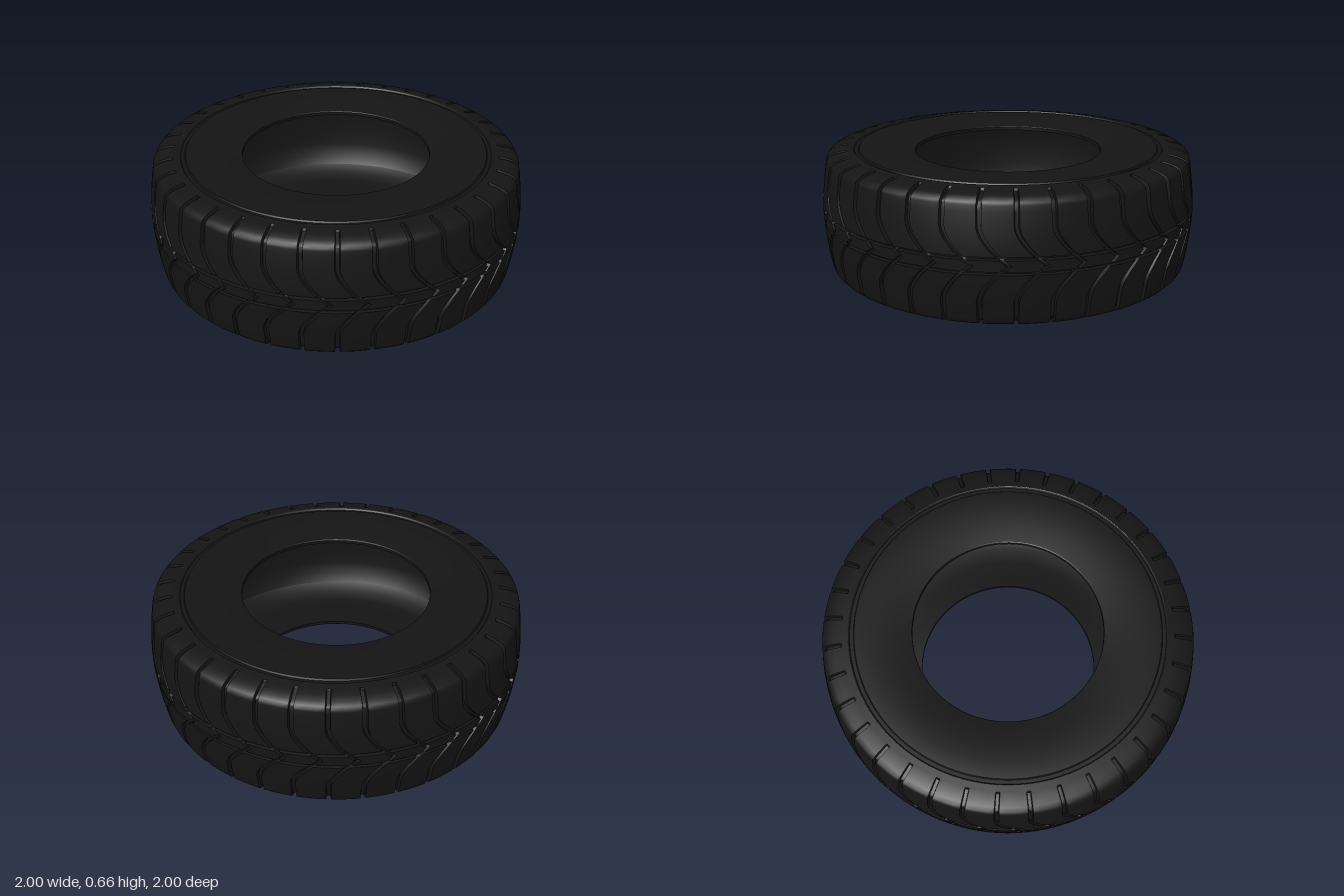
import * as THREE from 'three';
import { toCreasedNormals } from 'three/addons/utils/BufferGeometryUtils.js';

const MID = 0.33;      // height of the centre plane
const PITCHES = 36;    // tread blocks around the tyre
const DEPTH = 0.018;   // groove depth

// radius of the gently crowned tread at distance h from the centre plane
const crown = (h) => 1 - 0.03 * Math.pow(h / 0.275, 1.7);

// Half of the tread section, centre to shoulder: [radius, height, lateral groove depth]
function treadHalf() {
  const rows = [[1, 0, DEPTH], [1, 0.027, DEPTH],
    [0.98, 0.03, 0], [0.98, 0.04, 0]];             // circumferential groove
  for (const h of [0.043, 0.06, 0.08, 0.1, 0.125, 0.15, 0.18, 0.21, 0.245, 0.275]) {
    rows.push([crown(h), h, DEPTH]);
  }
  rows.push([0.966, 0.288, DEPTH], [0.956, 0.299, DEPTH], [0.935, 0.31, DEPTH],
    [0.905, 0.319, DEPTH], [0.87, 0.325, 0.012], [0.862, 0.326, 0], [0.828, 0.33, 0]);
  return rows;
}

// Angle by which the lateral grooves sweep sideways near the centre
function sweep(h) {
  const t = Math.min(1, Math.abs(h) / 0.18);
  return 0.14 * Math.pow(1 - t, 1.6);
}

// Tread surface: a grid whose columns follow the swept grooves
function treadGeometry() {
  const half = treadHalf();
  const rows = [...half.slice(1).reverse().map(([r, h, d]) => [r, -h, d]), ...half];
  const pitch = (Math.PI * 2) / PITCHES;
  // [angle within a pitch, 1 on the groove floor]
  const columns = [[-0.013, 0], [-0.009, 1], [0.009, 1], [0.013, 0],
    [0.048, 0], [0.087, 0], [0.126, 0]];
  const n = PITCHES * columns.length;
  const positions = [];
  const index = [];
  rows.forEach(([r, h, depth], i) => {
    // section normal, used to sink the grooves
    const a = rows[Math.max(0, i - 1)];
    const b = rows[Math.min(rows.length - 1, i + 1)];
    const normal = Math.abs(h) < 0.06
      ? new THREE.Vector2(1, 0)
      : new THREE.Vector2(b[1] - a[1], a[0] - b[0]).normalize();
    for (let j = 0; j < n; j++) {
      const [u, floor] = columns[j % columns.length];
      const angle = Math.floor(j / columns.length) * pitch + u + sweep(h);
      const rr = r - normal.x * depth * floor;
      const hh = h - normal.y * depth * floor;
      positions.push(rr * Math.sin(angle), MID + hh, rr * Math.cos(angle));
      if (i < rows.length - 1) {
        const k = (j + 1) % n;
        const p = i * n + j, q = i * n + k;
        index.push(p, q, q + n, p, q + n, p + n);
      }
    }
  });
  const geometry = new THREE.BufferGeometry();
  geometry.setAttribute('position', new THREE.Float32BufferAttribute(positions, 3));
  geometry.setIndex(index);
  return toCreasedNormals(geometry, 0.6);
}

// Lathe from a half section, top part first, then mirrored to the underside
function mirroredLathe(half, join) {
  const top = half.map(([r, h]) => new THREE.Vector2(r, MID + h));
  const bottom = half.map(([r, h]) => new THREE.Vector2(r, MID - h)).reverse();
  const pieces = join ? [[...top, ...bottom]] : [top, bottom];
  return pieces.map((points) => toCreasedNormals(new THREE.LatheGeometry(points, 96), 0.5));
}

export function createModel() {
  const tyre = new THREE.Group();
  tyre.name = 'tyre';
  const rubber = new THREE.MeshStandardMaterial({ color: 0x141414, side: THREE.DoubleSide });
  const add = (name, geometry) => {
    const mesh = new THREE.Mesh(geometry, rubber);
    mesh.name = name;
    tyre.add(mesh);
  };

  add('tread', treadGeometry());

  // sidewalls with a shallow ring groove, sloping down to the bead
  const sidewall = [[0.83, 0.33], [0.826, 0.328], [0.821, 0.32], [0.802, 0.32], [0.797, 0.328],
    [0.77, 0.329], [0.72, 0.328], [0.66, 0.324], [0.6, 0.317], [0.54, 0.308],
    [0.505, 0.302], [0.5, 0.298], [0.5, 0.28]];
  mirroredLathe(sidewall, false).forEach((g, i) => add(i ? 'lowerSidewall' : 'upperSidewall', g));

  // hollow inside of the casing
  const liner = [[0.5, 0.28], [0.56, 0.285], [0.66, 0.295], [0.76, 0.295], [0.84, 0.28],
    [0.895, 0.245], [0.925, 0.19], [0.938, 0.12], [0.943, 0.04]];
  add('innerLiner', mirroredLathe(liner, true)[0]);

  return tyre;
}
